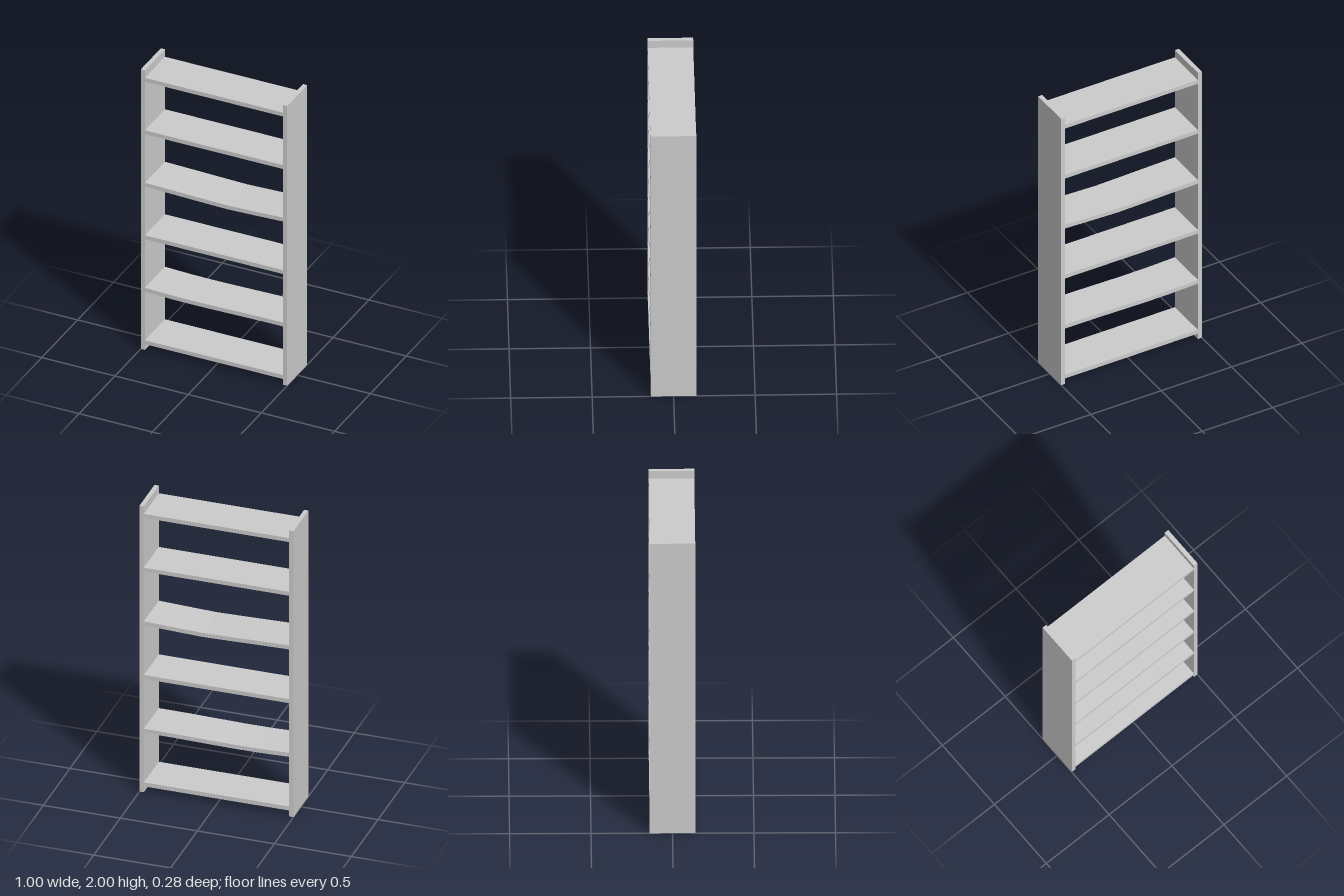
import * as THREE from 'three';

const WIDTH = 1, HEIGHT = 2, DEPTH = 0.28, BOARD = 0.028;
const INNER = WIDTH / 2 - BOARD;

// Board running from side to side; sag lists the drop at evenly spaced points.
function shelfGeometry(sag) {
  const x = (i) => -INNER + (2 * INNER * i) / (sag.length - 1);
  const top = sag.map((d, i) => new THREE.Vector2(x(i), BOARD / 2 - d));
  const bottom = sag.map((d, i) => new THREE.Vector2(x(i), -BOARD / 2 - d));
  const shape = new THREE.Shape([...bottom, ...top.reverse()]);
  return new THREE.ExtrudeGeometry(shape, { depth: DEPTH, bevelEnabled: false })
    .translate(0, 0, -DEPTH / 2);
}

export function createModel() {
  const model = new THREE.Group();
  model.name = 'bookcase';
  const material = new THREE.MeshStandardMaterial({ color: 0xcccccc, flatShading: true });

  const add = (name, geometry, x, y) => {
    const mesh = new THREE.Mesh(geometry, material);
    mesh.name = name;
    mesh.position.set(x, y, 0);
    model.add(mesh);
  };

  // Upright side panels
  for (const side of [-1, 1]) {
    add(side > 0 ? 'leftPanel' : 'rightPanel',
      new THREE.BoxGeometry(BOARD, HEIGHT, DEPTH), side * (WIDTH - BOARD) / 2, HEIGHT / 2);
  }

  // Six shelves, two of them bent under old loads
  const sags = {
    1: [0, 0.006, 0.007, 0.004, 0.001, 0],
    3: [0, 0.004, 0.009, 0.013, 0.007, 0],
  };
  for (let i = 0; i < 6; i++) {
    add(`shelf${i + 1}`, shelfGeometry(sags[i] ?? [0, 0]), 0, 0.055 + i * 0.3755);
  }
  return model;
}
